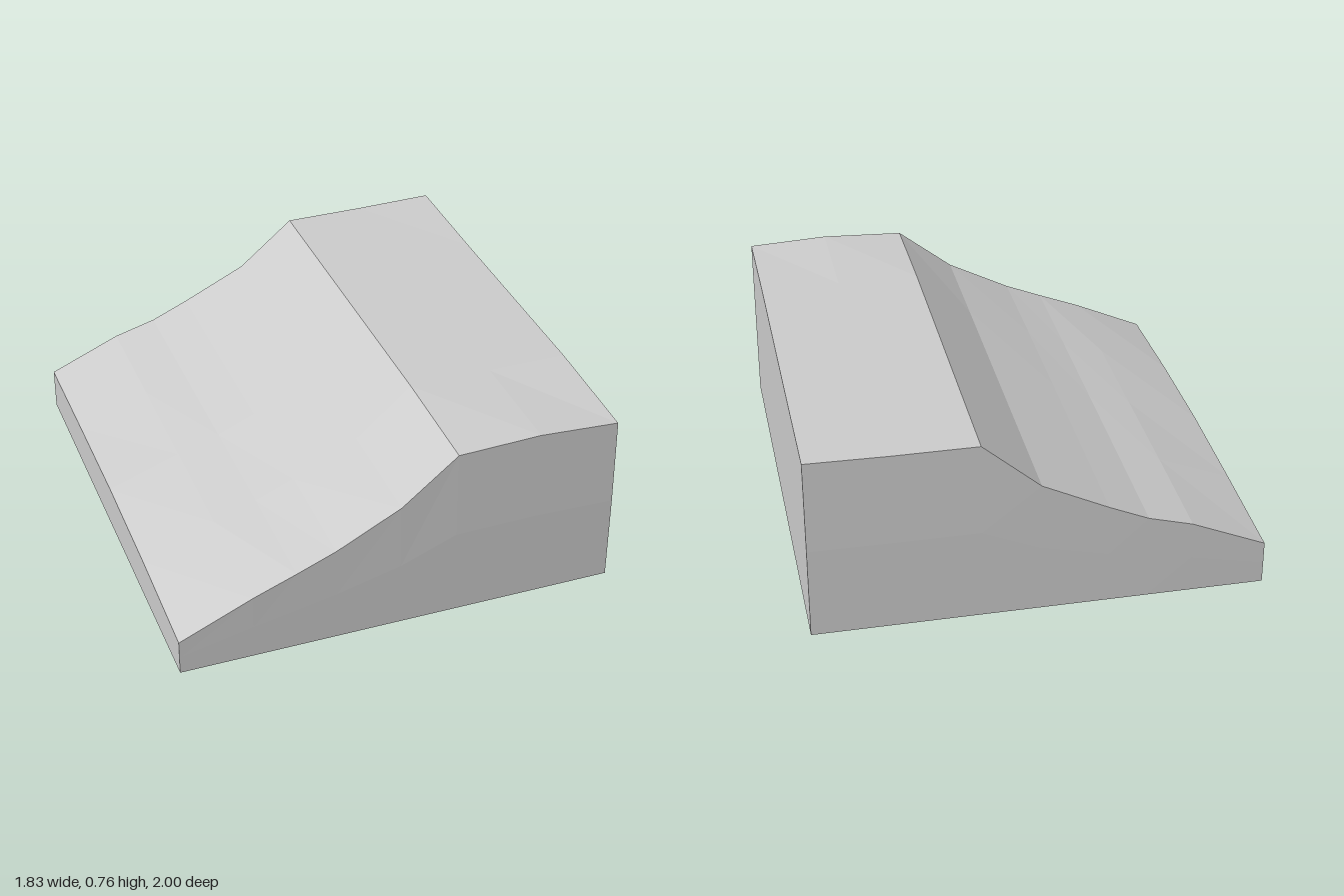
import * as THREE from 'three';

// Cross-sections along x; each row holds heights at the five z stations
const zs = [-1, -0.5, 0, 0.5, 1];
const deck = [
  { x: -0.913, y: [0.18, 0.19, 0.195, 0.18, 0.15] },
  { x: -0.61, y: [0.31, 0.31, 0.305, 0.3, 0.285] },
  { x: -0.43, y: [0.36, 0.36, 0.36, 0.36, 0.355] },
  { x: -0.27, y: [0.43, 0.43, 0.43, 0.428, 0.42] },
  { x: 0, y: [0.56, 0.56, 0.56, 0.56, 0.558] },
  { x: 0.235, y: [0.76, 0.76, 0.76, 0.76, 0.745] },
  { x: 0.58, y: [0.76, 0.76, 0.76, 0.76, 0.758] },
  { x: 0.913, y: [0.765, 0.76, 0.76, 0.76, 0.74] },
];
// The hollow is steep at the low end and runs out gently to the tall end
const hollow = [
  { x: -0.913, y: [0, 0, 0, 0, 0] },
  { x: -0.61, y: [0, 0, 0, 0, 0] },
  { x: -0.41, y: [0, 0.16, 0.18, 0.2, 0] },
  { x: -0.06, y: [0, 0.33, 0.31, 0.25, 0] },
  { x: 0.56, y: [0, 0.12, 0.11, 0.09, 0] },
  { x: 0.913, y: [0, 0, 0, 0, 0] },
];

// Point at a given height; the flanks curve in slightly towards the top
function place(x, y, z) {
  return [x, y, z * (0.994 + 0.005 * x - 0.03 * y * y)];
}
const deckPoint = (i, j) => place(deck[i].x, deck[i].y[j], zs[j]);
const hollowPoint = (i, j) => place(hollow[i].x, hollow[i].y[j], zs[j]);
// Wall point at fraction f of the height below a deck edge point
const wallPoint = (i, j, f) => place(deck[i].x, deck[i].y[j] * f, zs[j]);

// Flat-shaded mesh from a list of quads
function quadMesh(name, quads, material) {
  const pos = [];
  for (const [a, b, c, d] of quads) pos.push(...a, ...b, ...c, ...a, ...c, ...d);
  const geometry = new THREE.BufferGeometry();
  geometry.setAttribute('position', new THREE.Float32BufferAttribute(pos, 3));
  geometry.computeVertexNormals();
  const mesh = new THREE.Mesh(geometry, material);
  mesh.name = name;
  return mesh;
}

export function createModel() {
  const group = new THREE.Group();
  group.name = 'slopedBlock';
  const material = new THREE.MeshStandardMaterial({ color: 0xcccccc, flatShading: true });
  const top = [], under = [], front = [], back = [], tallEnd = [], lowEnd = [];
  const ni = deck.length - 1, nj = zs.length - 1;

  // Sloping deck
  for (let i = 0; i < ni; i++) {
    for (let j = 0; j < nj; j++) {
      top.push([deckPoint(i, j), deckPoint(i, j + 1), deckPoint(i + 1, j + 1), deckPoint(i + 1, j)]);
    }
  }

  // Hollowed underside, with diagonals mirrored about z = 0
  for (let i = 0; i < hollow.length - 1; i++) {
    for (let j = 0; j < nj; j++) {
      const a = hollowPoint(i, j), b = hollowPoint(i, j + 1);
      const c = hollowPoint(i + 1, j + 1), d = hollowPoint(i + 1, j);
      under.push(j < nj / 2 ? [a, d, c, b] : [b, a, d, c]);
    }
  }

  // Walls in two bands of height
  for (const [lo, hi] of [[0, 0.5], [0.5, 1]]) {
    const band = (i0, j0, i1, j1) => [
      wallPoint(i0, j0, lo), wallPoint(i1, j1, lo), wallPoint(i1, j1, hi), wallPoint(i0, j0, hi),
    ];
    for (let i = 0; i < ni; i++) {
      front.push(band(i, nj, i + 1, nj));
      back.push(band(i + 1, 0, i, 0));
    }
    for (let j = 0; j < nj; j++) {
      tallEnd.push(band(ni, j + 1, ni, j));
      lowEnd.push(band(0, j, 0, j + 1));
    }
  }

  const parts = { topSurface: top, hollowUnderside: under, frontWall: front, backWall: back, tallEndWall: tallEnd, lowEndWall: lowEnd };
  for (const [name, quads] of Object.entries(parts)) group.add(quadMesh(name, quads, material));
  return group;
}
